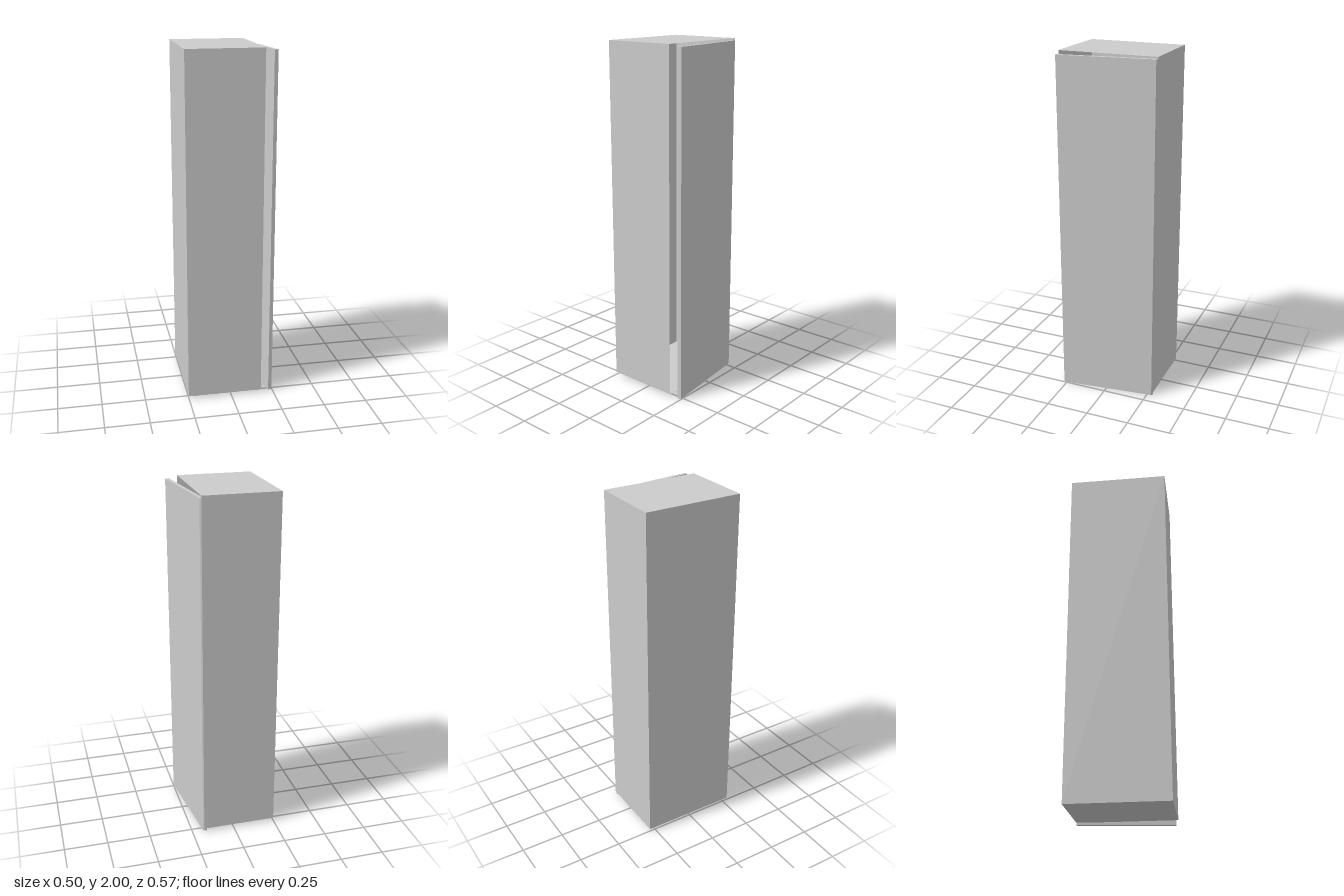
import * as THREE from 'three';

export function createModel() {
  const model = new THREE.Group();
  model.name = 'cabinet';

  // Cabinet shell: thin-walled box, open on the door side (+x)
  const shellGeo = new THREE.BoxGeometry(0.43, 1.985, 0.566);
  const index = Array.from(shellGeo.index.array);
  shellGeo.setIndex(index.slice(6)); // drop the +x face
  shellGeo.clearGroups();
  const shell = new THREE.Mesh(
    shellGeo,
    new THREE.MeshStandardMaterial({ color: 0xcccccc, side: THREE.DoubleSide })
  );
  shell.name = 'cabinetShell';
  shell.position.set(-0.036, 0.015 + 1.985 / 2, -0.001);
  model.add(shell);

  // Door ajar: plan outline as [x, z], hinge end chamfered, extruded upward
  const plan = [
    [0.164, -0.281], [0.172, -0.284], [0.185, -0.276],
    [0.248, 0.266], [0.227, 0.269],
  ];
  const outline = new THREE.Shape(plan.map(([x, z]) => new THREE.Vector2(x, -z)));
  const doorGeo = new THREE.ExtrudeGeometry(outline, { depth: 1.988, bevelEnabled: false });
  doorGeo.rotateX(-Math.PI / 2);
  const door = new THREE.Mesh(
    doorGeo,
    new THREE.MeshStandardMaterial({ color: 0xcccccc, flatShading: true })
  );
  door.name = 'door';
  door.rotation.z = -0.001; // slight sag outward
  model.add(door);

  return model;
}
